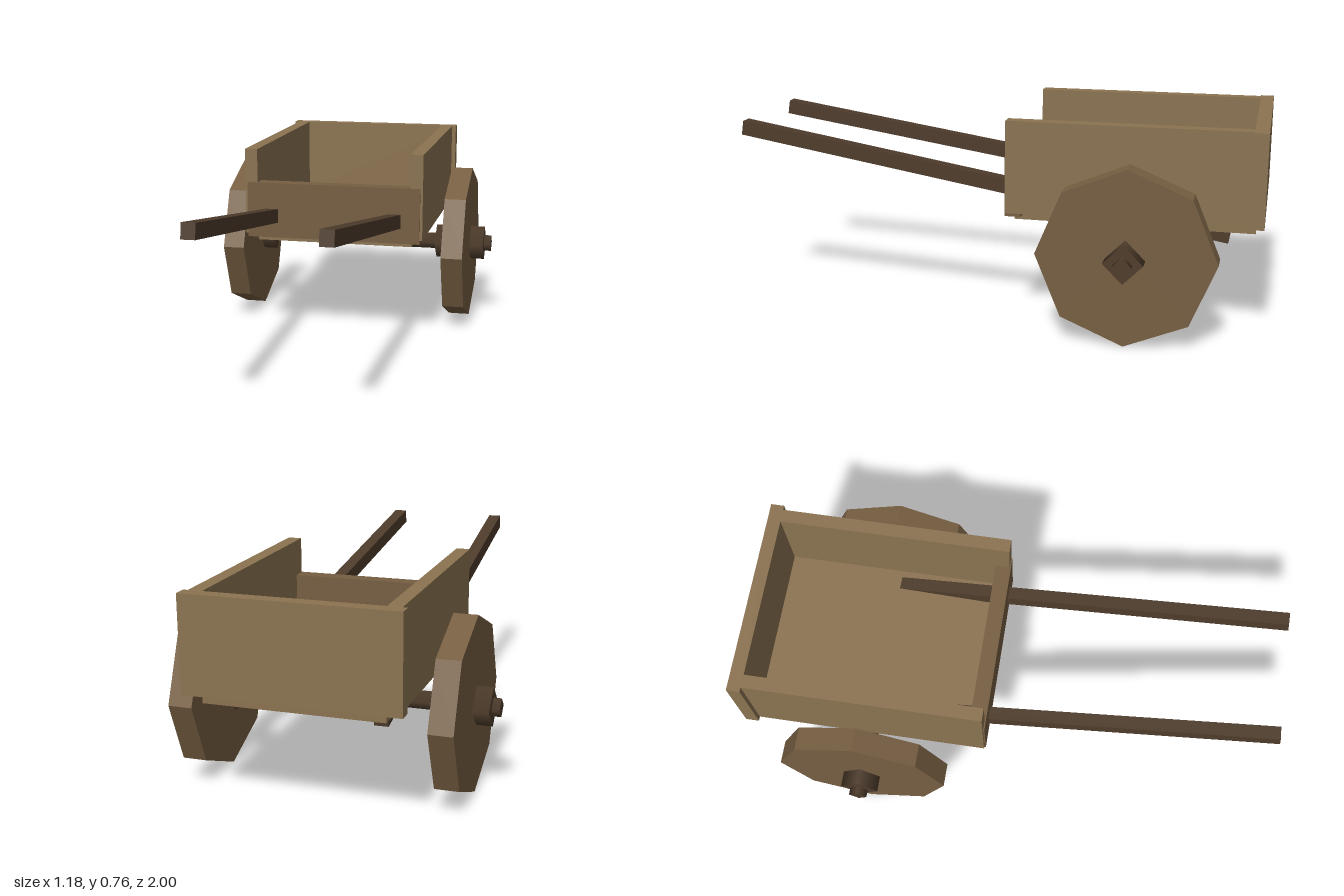
import * as THREE from 'three';

export function createModel() {
  const cart = new THREE.Group();
  cart.name = 'handcart';

  const plank = new THREE.MeshStandardMaterial({ color: 0x8b7351 });
  const wheelWood = new THREE.MeshStandardMaterial({ color: 0x775f42, flatShading: true });
  const darkWood = new THREE.MeshStandardMaterial({ color: 0x4e3c2b });

  const add = (name, geometry, material, x = 0, y = 0, z = 0) => {
    const mesh = new THREE.Mesh(geometry, material);
    mesh.name = name;
    mesh.position.set(x, y, z);
    cart.add(mesh);
    return mesh;
  };

  // Box given by its lowest and highest corners
  const board = (name, material, [x0, y0, z0], [x1, y1, z1]) =>
    add(name, new THREE.BoxGeometry(x1 - x0, y1 - y0, z1 - z0), material,
      (x0 + x1) / 2, (y0 + y1) / 2, (z0 + z1) / 2);

  // Cylinder lying along x, with a corner pointing up
  const axleY = 0.322, axleZ = -0.535;
  const roller = (name, material, radius, length, sides, x) => {
    const geometry = new THREE.CylinderGeometry(radius, radius, length, sides).rotateZ(Math.PI / 2);
    return add(name, geometry, material, x, axleY, axleZ);
  };

  // Cargo box
  board('floor', plank, [-0.315, 0.39, -0.97], [0.315, 0.456, -0.1]);
  board('backBoard', plank, [-0.377, 0.422, -1], [0.377, 0.764, -0.95]);
  board('frontBoard', wheelWood, [-0.35, 0.408, -0.13], [0.35, 0.63, -0.071]);

  roller('axle', darkWood, 0.034, 1.18, 4, 0);

  for (const side of [-1, 1]) {
    const label = side > 0 ? 'left' : 'right';

    const wall = board(label + 'SideBoard', plank, [-0.025, 0.422, -0.955], [0.025, 0.764, -0.076]);
    wall.position.x = side * 0.335;

    // Wheel and hub
    roller(label + 'Wheel', wheelWood, 0.321, 0.087, 8, side * 0.459);
    roller(label + 'Hub', darkWood, 0.071, 0.205, 4, side * 0.459);

    // Block that holds the axle under the floor
    const block = board(label + 'AxleBlock', darkWood, [-0.05, 0.325, axleZ - 0.06], [0.05, 0.4, axleZ + 0.06]);
    block.position.x = side * 0.204;

    // Shaft sloping from the hand end down through the box and floor
    const hand = new THREE.Vector3(side * 0.224, 0.666, 0.995);
    const tail = new THREE.Vector3(side * 0.268, 0.369, -0.88);
    const shaft = add(label + 'Shaft', new THREE.BoxGeometry(0.049, 0.055, hand.distanceTo(tail)), darkWood);
    shaft.position.lerpVectors(hand, tail, 0.5);
    shaft.lookAt(hand);
  }

  return cart;
}
